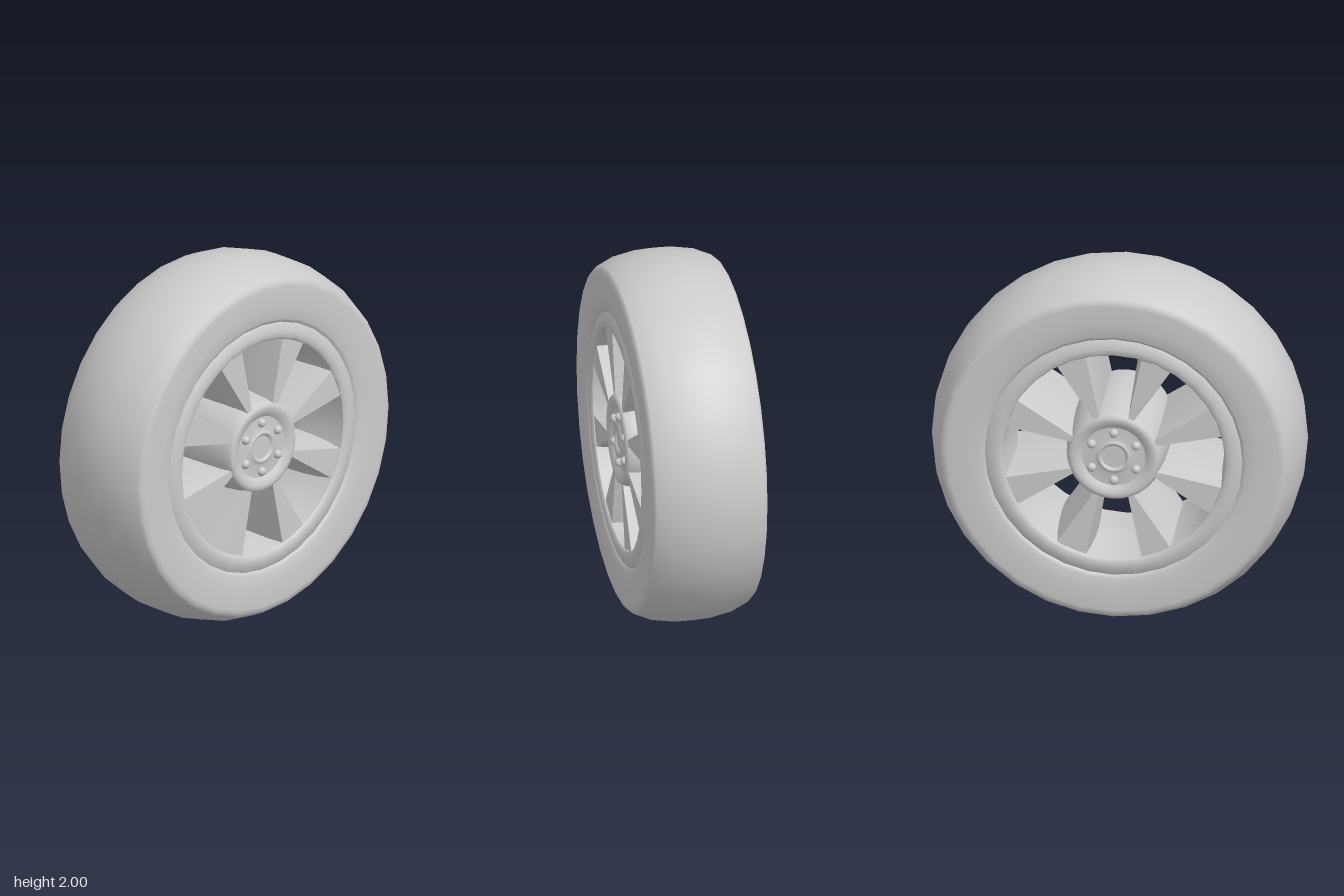
import * as THREE from 'three';

const material = new THREE.MeshStandardMaterial({ color: 0xcccccc, roughness: 0.7 });

function add(parent, name, geometry) {
  const mesh = new THREE.Mesh(geometry, material);
  mesh.name = name;
  parent.add(mesh);
  return mesh;
}

// Turned part, the same front and back: [radius, z] points run from the
// outer middle over the front face to the inside. A repeated point is a crease.
function turned(half, segments = 32) {
  const back = half.slice(1).reverse().map(([r, z]) => [r, -z]);
  const points = [...back, ...half].map(([r, z]) => new THREE.Vector2(r, z));
  return new THREE.LatheGeometry(points, segments).rotateX(Math.PI / 2);
}

// Spoke along +y: narrow front and back faces, sides bulging at mid depth
function spokeGeometry() {
  const geometry = new THREE.BoxGeometry(2, 1, 2, 1, 1, 6);
  const p = geometry.attributes.position;
  const inner = 0.2, outer = 0.592, depth = 0.292;
  for (let i = 0; i < p.count; i++) {
    const t = p.getY(i) + 0.5;
    const z = p.getZ(i);
    const bulge = 1 - z * z;
    const r = THREE.MathUtils.lerp(inner, outer, t);
    const faceWidth = THREE.MathUtils.lerp(0.008, 0.083, t);
    const sideBulge = THREE.MathUtils.lerp(0.009, 0.034, t);
    p.setXYZ(i, p.getX(i) * (faceWidth + sideBulge * bulge), r, z * depth);
  }
  geometry.computeVertexNormals();
  return geometry;
}

export function createModel() {
  const wheel = new THREE.Group();
  wheel.name = 'wheel';
  const body = new THREE.Group();
  body.name = 'wheelBody';
  body.position.y = 1;
  wheel.add(body);

  // Tyre with rounded tread, shoulders and flat sidewalls
  add(body, 'tyre', turned([
    [1, 0], [0.997, 0.08], [0.975, 0.2], [0.932, 0.295], [0.915, 0.309], [0.89, 0.315],
    [0.78, 0.315], [0.71, 0.307], [0.695, 0.295], [0.66, 0.27], [0.64, 0],
  ]));

  // Rim ring and barrel
  add(body, 'rim', turned([
    [0.7, 0], [0.7, 0.284], [0.7, 0.284], [0.675, 0.3], [0.64, 0.309], [0.61, 0.308],
    [0.597, 0.295], [0.597, 0.295], [0.585, 0.2], [0.572, 0.1], [0.567, 0],
  ]));

  // Hub with raised lip, sunken bolt face and centre ring
  add(body, 'hub', turned([
    [0.272, 0], [0.268, 0.13], [0.256, 0.25], [0.245, 0.29], [0.235, 0.303], [0.215, 0.305],
    [0.19, 0.297], [0.17, 0.283], [0.17, 0.283], [0.1, 0.283], [0.085, 0.296], [0.075, 0.298],
    [0.064, 0.286], [0.064, 0.286], [0, 0.286],
  ]));

  // Eight spokes between the windows
  const spoke = spokeGeometry();
  for (let i = 0; i < 8; i++) {
    add(body, 'spoke', spoke).rotation.z = (i + 0.5) * Math.PI / 4;
  }

  // Six domed bolts on each face
  const bolt = new THREE.SphereGeometry(0.025, 12, 8);
  for (const side of [1, -1]) {
    for (let i = 0; i < 6; i++) {
      const a = Math.PI / 2 + i * Math.PI / 3;
      add(body, 'bolt', bolt).position.set(0.137 * Math.cos(a), 0.137 * Math.sin(a), side * 0.285);
    }
  }
  return wheel;
}
